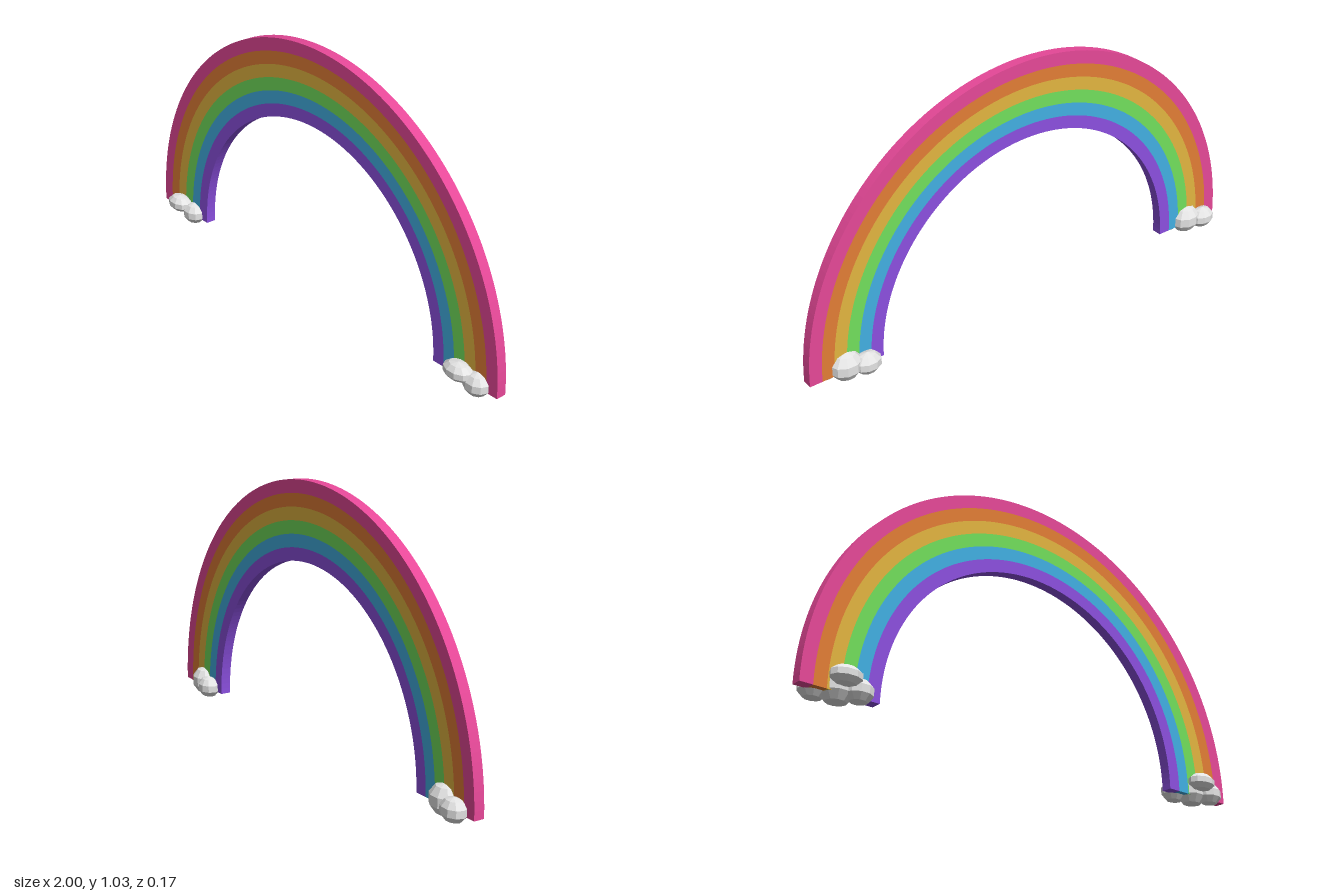
import * as THREE from 'three';

const mat = (name, color) => {
  const m = new THREE.MeshStandardMaterial({ color });
  m.name = name;
  return m;
};

const BASE_Y = 0.035, OUTER = 1, INNER = 0.69;
const BACK_Z = -0.028, DEPTH = 0.042;

// Half-ring band between two radii, extruded along z
function archBand(rOut, rIn) {
  const s = new THREE.Shape();
  s.absarc(0, 0, rOut, 0, Math.PI, false);
  s.absarc(0, 0, rIn, Math.PI, 0, true);
  s.closePath();
  return new THREE.ExtrudeGeometry(s, { depth: DEPTH, bevelEnabled: false, curveSegments: 48 });
}

export function createModel() {
  const model = new THREE.Group();
  model.name = 'rainbow';

  // Coloured bands, outermost first
  const bands = [
    ['pink', 0xe64898], ['orange', 0xe37e36], ['yellow', 0xe3b540],
    ['green', 0x72e05c], ['blue', 0x42b0e3], ['purple', 0x8c50e0],
  ];
  const step = (OUTER - INNER) / bands.length;
  bands.forEach(([name, color], i) => {
    const r = OUTER - i * step;
    const band = new THREE.Mesh(archBand(r, r - step), mat(name, color));
    band.name = name + 'Band';
    band.position.set(0, BASE_Y, BACK_Z);
    model.add(band);
  });

  // One faceted cloud at each foot, both turned the same way
  const cloudMat = mat('cloudWhite', 0xe4e4e4);
  cloudMat.flatShading = true;
  const puffGeo = new THREE.SphereGeometry(1, 10, 5);
  const puffs = [ // name, centre, radii
    ['middlePuff', [0.005, 0.06, -0.02], [0.068, 0.06, 0.056]],
    ['frontPuff', [0, 0.085, 0.045], [0.064, 0.036, 0.044]],
    ['innerPuff', [0.068, 0.054, 0.018], [0.056, 0.046, 0.047]],
    ['outerPuff', [-0.07, 0.052, -0.046], [0.058, 0.045, 0.044]],
  ];
  for (const [side, x] of [['right', -0.845], ['left', 0.84]]) {
    const cloud = new THREE.Group();
    cloud.name = side + 'Cloud';
    cloud.position.x = x;
    for (const [name, pos, radii] of puffs) {
      const puff = new THREE.Mesh(puffGeo, cloudMat);
      puff.name = name;
      puff.position.set(...pos);
      puff.scale.set(...radii);
      cloud.add(puff);
    }
    model.add(cloud);
  }
  return model;
}
